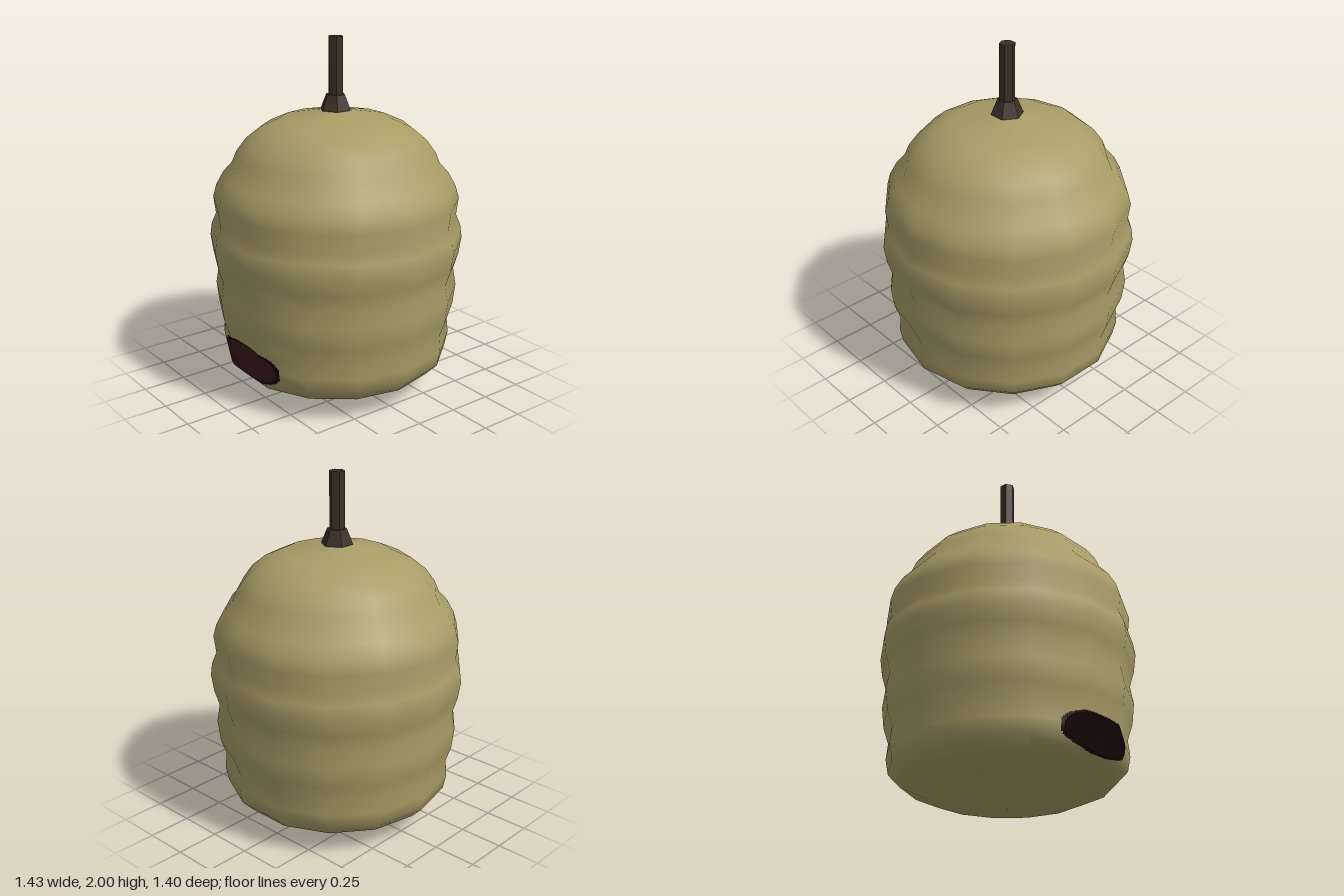
import * as THREE from 'three';

const SIDES = 14;
// Ribbed hive profile: radius, height
const PROFILE = [
  [0, 0], [0.43, 0.065], [0.575, 0.128], [0.64, 0.195], [0.657, 0.28], [0.648, 0.37],
  [0.678, 0.46], [0.692, 0.58], [0.675, 0.68], [0.702, 0.77], [0.716, 0.87], [0.706, 0.94],
  [0.68, 1.0], [0.692, 1.1], [0.672, 1.17], [0.63, 1.245], [0.58, 1.3], [0.555, 1.36],
  [0.5, 1.435], [0.42, 1.5], [0.3, 1.555], [0, 1.61],
].map(([r, y]) => new THREE.Vector2(r, y));

// Distance measure for the entrance: 1 on its rim, smaller inside
const entrance = (p) => (p.z < 0 ? 9
  : Math.abs(p.x / 0.27) ** 2.3 + Math.abs((p.y - 0.267) / 0.104) ** 2.3);

// Lathe surface whose facets around the entrance are finely divided,
// keeping only the cells with lo < entrance < hi
function hiveSurface(lo, hi, inward = false) {
  const lathe = new THREE.LatheGeometry(PROFILE, SIDES, Math.PI / 2);
  const rows = PROFILE.length;
  const read = (name, i) => new THREE.Vector3().fromBufferAttribute(lathe.attributes[name], i);
  const pos = [], nor = [], index = [];

  for (let i = 0; i < SIDES; i++) {
    for (let j = 0; j < rows - 1; j++) {
      const ids = [j, j + rows, j + rows + 1, j + 1].map((k) => k + i * rows);
      const P = ids.map((k) => read('position', k));
      const N = ids.map((k) => read('normal', k));
      const mid = P[0].clone().add(P[2]).multiplyScalar(0.5);
      const near = mid.z > 0 && Math.abs(mid.x) < 0.36 && mid.y > 0.09 && mid.y < 0.4;
      const n = near ? 26 : 1;
      const mix = (Q, u, v) => Q[0].clone().lerp(Q[1], u).lerp(Q[3].clone().lerp(Q[2], u), v);
      const base = pos.length / 3;
      for (let v = 0; v <= n; v++) {
        for (let u = 0; u <= n; u++) {
          pos.push(...mix(P, u / n, v / n).toArray());
          nor.push(...mix(N, u / n, v / n).normalize().multiplyScalar(inward ? -1 : 1).toArray());
        }
      }
      for (let v = 0; v < n; v++) {
        for (let u = 0; u < n; u++) {
          const e = near ? entrance(mix(P, (u + 0.5) / n, (v + 0.5) / n)) : 9;
          if (e <= lo || e > hi) continue;
          const a = base + v * (n + 1) + u, b = a + 1, d = a + n + 1, c = d + 1;
          if (inward) index.push(a, d, b, c, b, d);
          else index.push(a, b, d, c, d, b);
        }
      }
    }
  }
  const geo = new THREE.BufferGeometry();
  geo.setAttribute('position', new THREE.Float32BufferAttribute(pos, 3));
  geo.setAttribute('normal', new THREE.Float32BufferAttribute(nor, 3));
  geo.setIndex(index);
  return geo;
}

export function createModel() {
  const group = new THREE.Group();
  const material = (name, color) => {
    const m = new THREE.MeshStandardMaterial({ color });
    m.name = name;
    return m;
  };
  const straw = material('straw', 0xa99c66);
  const bark = material('bark', 0x3e2f27);
  bark.flatShading = true;
  const hollow = material('dark hollow', 0x1e080a);

  const add = (name, geo, mat, y = 0) => {
    const mesh = new THREE.Mesh(geo, mat);
    mesh.name = name;
    mesh.position.y = y;
    group.add(mesh);
  };

  // Hive with its entrance cut out, dark rim and dark inside
  add('hiveBody', hiveSurface(1, Infinity), straw);
  add('entranceRim', hiveSurface(0.8, 1), hollow);
  add('hiveLining', hiveSurface(0.8, Infinity, true), hollow);

  // Six-sided stalk with a flared foot
  add('stalkFoot', new THREE.CylinderGeometry(0.055, 0.09, 0.085, 6), bark, 1.6425);
  add('stalk', new THREE.CylinderGeometry(0.043, 0.043, 0.32, 6), bark, 1.84);
  return group;
}
